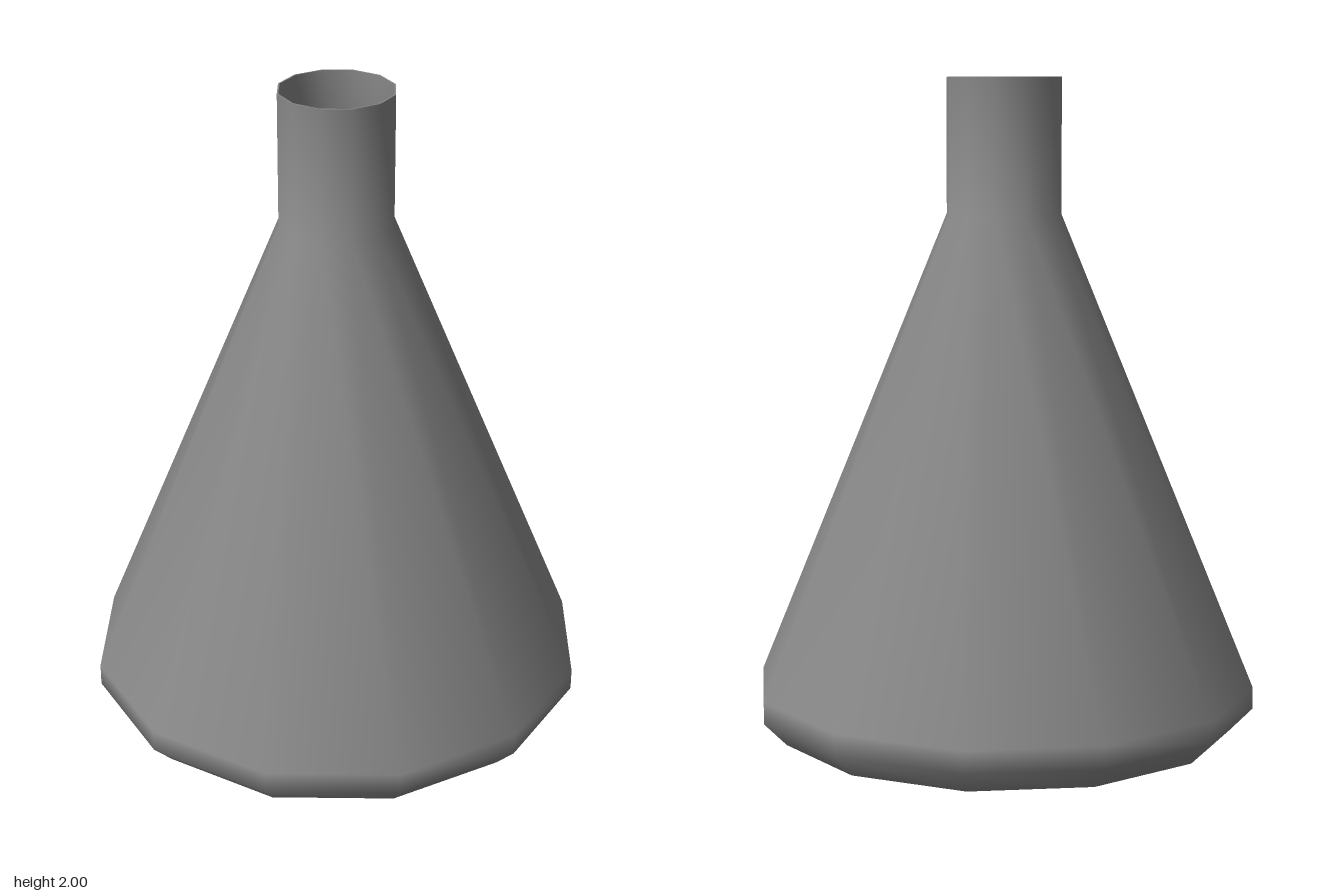
import * as THREE from 'three';

const SIDES = 12;

export function createModel() {
  const flask = new THREE.Group();
  flask.name = 'conicalFlask';
  const material = new THREE.MeshStandardMaterial({ color: 0x888888 });

  // Each profile is a smooth surface of revolution; edges between profiles stay sharp.
  const turn = (name, profile) => {
    const points = profile.map(([r, y]) => new THREE.Vector2(r, y));
    const mesh = new THREE.Mesh(new THREE.LatheGeometry(points, SIDES), material);
    mesh.name = name;
    flask.add(mesh);
  };

  // Underside blending softly into the chamfered foot, then sloping body and straight neck
  turn('outerWall', [[0, 0], [0.695, 0], [0.705, 0], [0.775, 0.072], [0.775, 0.14], [0.176, 1.59], [0.176, 2]]);
  // Thin lip around the mouth
  turn('rim', [[0.176, 2], [0.171, 2]]);
  // Hollow inside, narrowing slightly down the neck and running to the floor
  turn('innerWall', [[0.171, 2], [0.162, 1.587], [0.76, 0.137], [0.76, 0.076], [0.699, 0.015]]);
  turn('innerFloor', [[0.699, 0.015], [0, 0.015]]);

  return flask;
}
